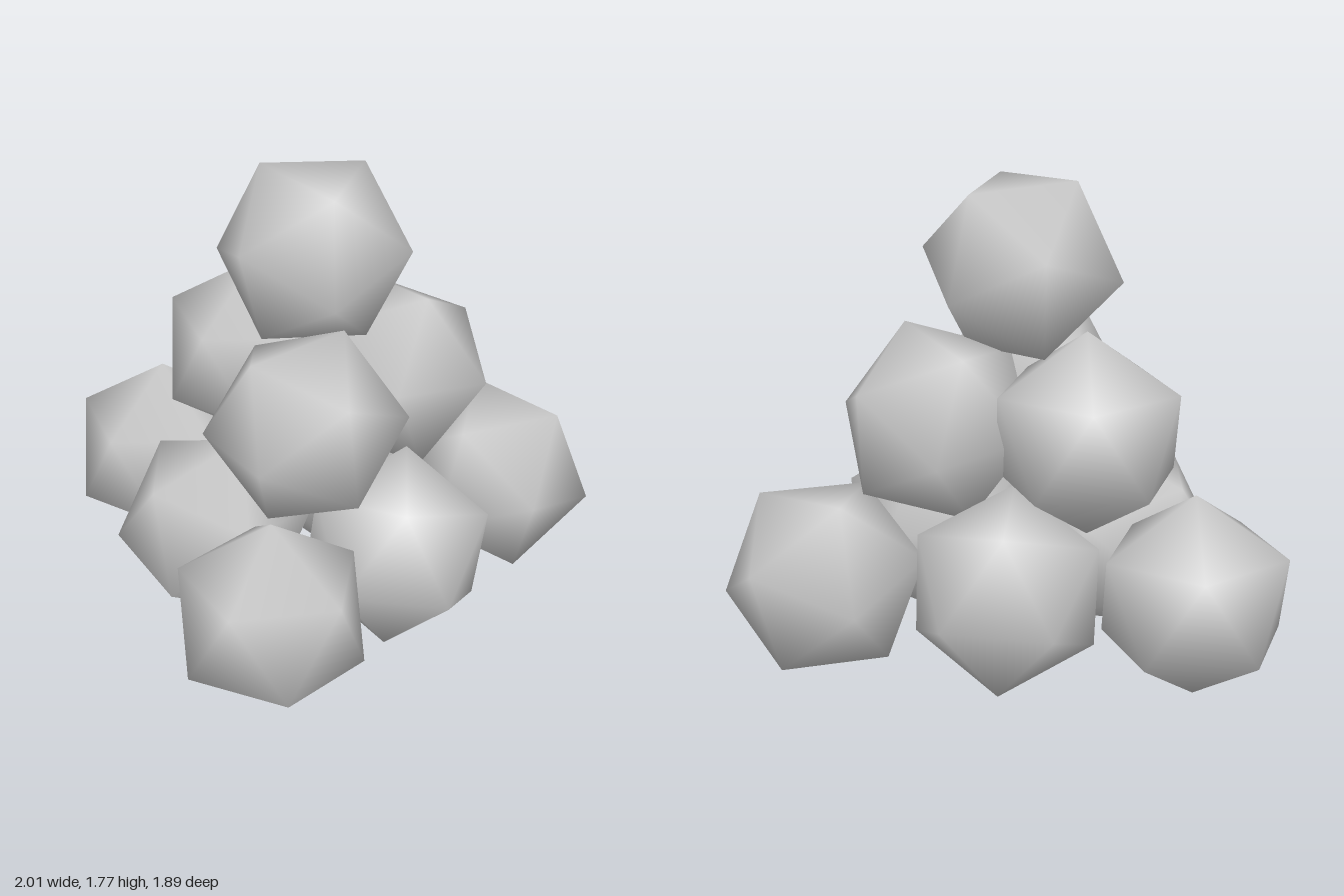
import * as THREE from 'three';

const R = 0.375;

// Twenty-sided ball with smooth radial normals, one corner on +y and a neighbouring corner towards +x
function makeBallGeometry() {
  const g = new THREE.IcosahedronGeometry(R, 0);
  g.rotateZ(-Math.atan(2 / (1 + Math.sqrt(5))));
  const p = g.attributes.position, n = g.attributes.normal, v = new THREE.Vector3();
  for (let i = 0; i < p.count; i++) {
    v.fromBufferAttribute(p, i).normalize();
    n.setXYZ(i, v.x, v.y, v.z);
  }
  return g;
}

// Each ball: centre, direction of one corner, direction of a neighbouring corner
const layers = {
  bottom: {
    Front: [[0.12, 0.376, 0.61], [0, 1, 0], [-0.985, 0, 0.17]],
    MiddleRight: [[-0.28, 0.383, 0.07], [-0.35, -0.065, 0.10], [-0.10, -0.36, 0.02]],
    MiddleLeft: [[0.42, 0.383, 0.03], [0, 0.355, -0.14], [0.34, 0.155, -0.06]],
    BackRight: [[-0.665, 0.376, -0.435], [0, 1, 0], [-1, 0, 0]],
    BackCentre: [[-0.02, 0.385, -0.585], [0.14, -0.04, -0.345], [-0.01, -0.355, -0.145]],
    BackLeft: [[0.65, 0.385, -0.62], [0.36, -0.08, -0.05], [0.10, -0.32, 0.155]],
  },
  middle: {
    Front: [[0.115, 0.92, 0.18], [0.105, 0.34, -0.13], [0.365, 0.02, -0.11]],
    BackRight: [[-0.255, 0.917, -0.365], [0, 1, 0], [-1, 0, 0]],
    BackLeft: [[0.30, 0.917, -0.36], [0.37, 0.02, 0.06], [0.13, 0.34, 0.07]],
  },
  top: {
    Centre: [[0.04, 1.46, -0.155], [-0.545, 0.84, 0], [-0.99, -0.12, 0]],
  },
};

export function createModel() {
  const model = new THREE.Group();
  model.name = 'ballPile';
  const geometry = makeBallGeometry();
  const material = new THREE.MeshStandardMaterial({ color: 0xcccccc });

  for (const [layer, balls] of Object.entries(layers)) {
    const group = new THREE.Group();
    group.name = layer + 'Layer';
    for (const [place, [centre, corner, neighbour]] of Object.entries(balls)) {
      const ball = new THREE.Mesh(geometry, material);
      ball.name = layer + place + 'Ball';
      // Turn the ball so its two reference corners point the given ways
      const y = new THREE.Vector3(...corner).normalize();
      const x = new THREE.Vector3(...neighbour).projectOnPlane(y).normalize();
      const z = new THREE.Vector3().crossVectors(x, y);
      ball.quaternion.setFromRotationMatrix(new THREE.Matrix4().makeBasis(x, y, z));
      ball.position.set(...centre);
      group.add(ball);
    }
    model.add(group);
  }
  return model;
}
